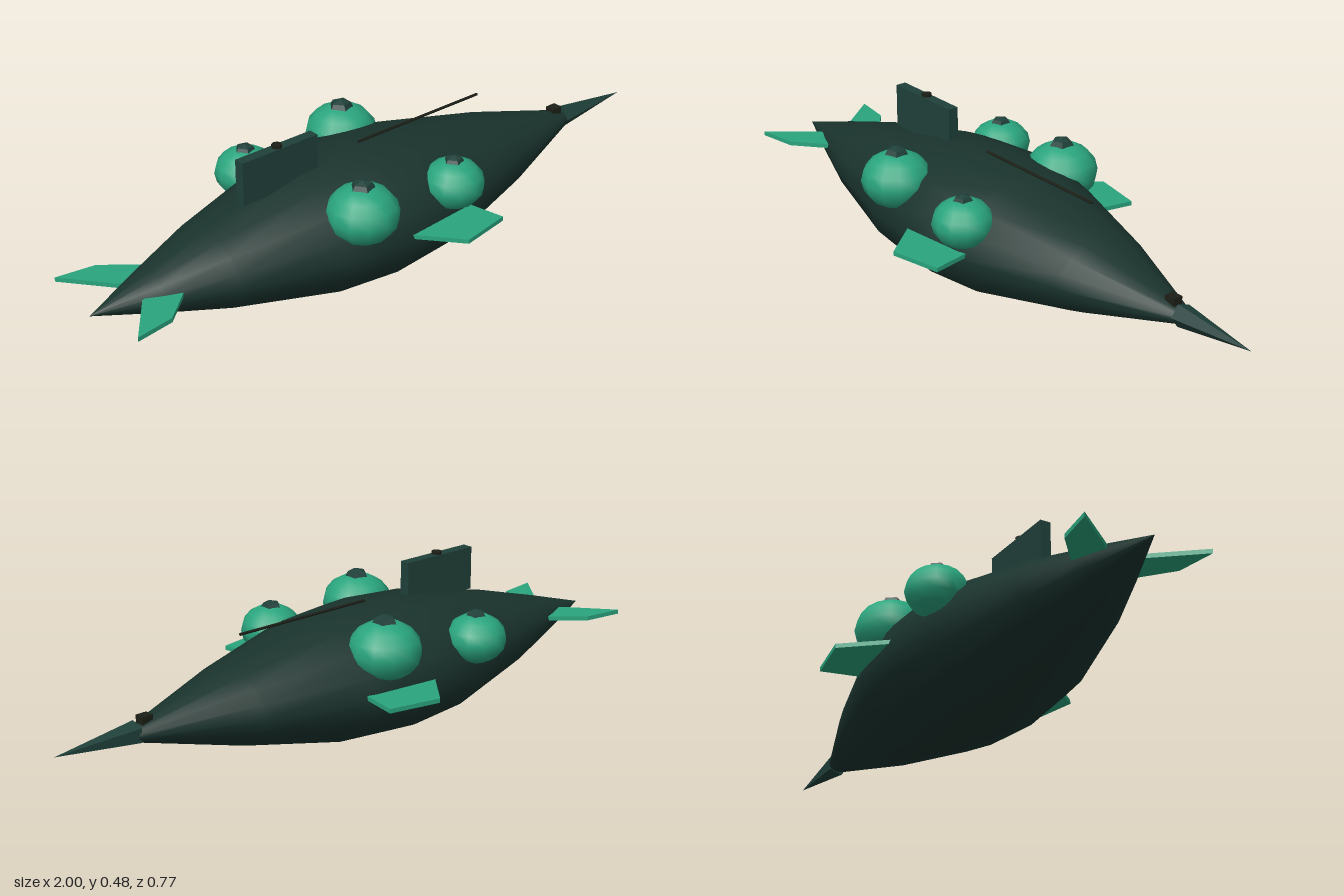
import * as THREE from 'three';

const paint = (color, flatShading = false) => {
  const m = new THREE.MeshStandardMaterial({ flatShading });
  m.color.set(color);
  return m;
};

export function createModel() {
  const model = new THREE.Group();
  const hullMat = paint(0x1a332d);
  const darkMat = paint(0x20403a, true);
  const greenMat = paint(0x2aa57e);
  const finMat = paint(0x2aa57e, true);
  const trimMat = paint(0x1c1f16, true);

  const add = (name, geometry, material, x = 0, y = 0, z = 0) => {
    const mesh = new THREE.Mesh(geometry, material);
    mesh.name = name;
    mesh.position.set(x, y, z);
    model.add(mesh);
    return mesh;
  };

  // Spindle hull with an oval section, lathed along x
  const profile = [[0, -1], [0.3, -0.81], [0.58, -0.62], [0.93, -0.3], [1, -0.1],
    [0.93, 0.1], [0.575, 0.42], [0.12, 0.74], [0, 0.8]];
  const hull = new THREE.LatheGeometry(profile.map(([r, t]) => new THREE.Vector2(r, t)), 16);
  hull.rotateZ(-Math.PI / 2).scale(1, 0.191, 0.273);
  add('hull', hull, hullMat, 0, 0.192, 0);

  // Five-sided nose spike and the small block behind it
  const nose = new THREE.ConeGeometry(0.035, 0.26, 5).rotateZ(-Math.PI / 2);
  add('noseSpike', nose, darkMat, 0.87, 0.195, 0);
  add('noseBlock', new THREE.BoxGeometry(0.035, 0.035, 0.03), trimMat, 0.71, 0.222, 0);

  // Sail with its hatch, and the long rod above the deck
  add('sail', new THREE.BoxGeometry(0.26, 0.13, 0.032), darkMat, -0.37, 0.407, 0);
  add('sailHatch', new THREE.CylinderGeometry(0.015, 0.015, 0.02, 8), trimMat, -0.37, 0.471, 0);
  const rod = new THREE.CylinderGeometry(0.004, 0.004, 0.46, 6).rotateZ(Math.PI / 2);
  add('deckRod', rod, trimMat, 0.15, 0.389, 0);

  // Thin flat fins, mirrored to both sides
  const fins = {
    middleFin: [[-0.11, 0.265], [-0.01, 0.387], [0.15, 0.356], [0.125, 0.23], [-0.05, 0.23]],
    tailFin: [[-0.98, 0.193], [-0.86, 0.175], [-0.76, 0.09], [-0.8, 0.02], [-0.87, 0.055]],
  };
  for (const [name, outline] of Object.entries(fins)) {
    for (const side of [1, -1]) {
      const shape = new THREE.Shape(outline.map(([x, z]) => new THREE.Vector2(x, z * side)));
      const fin = new THREE.ExtrudeGeometry(shape, { depth: 0.013, bevelEnabled: false });
      fin.rotateX(Math.PI / 2);
      add(name, fin, finMat, 0, 0.213, 0);
    }
  }

  // Flattened round pods, each with a small faceted cap: x, y, z, radius
  const pods = [
    [-0.24, 0.306, 0.206, 0.105],
    [0.087, 0.288, 0.217, 0.09],
    [0.02, 0.312, -0.195, 0.107],
    [-0.307, 0.283, -0.23, 0.09],
  ];
  for (const [x, y, z, r] of pods) {
    const ry = r * 0.81;
    add('pod', new THREE.SphereGeometry(r, 12, 8).scale(1, 0.81, 1), greenMat, x, y, z);
    const cap = new THREE.SphereGeometry(r * 0.37, 5, 4).scale(1, 0.75, 1);
    add('podCap', cap, darkMat, x, y + ry - 0.012, z);
  }
  return model;
}
